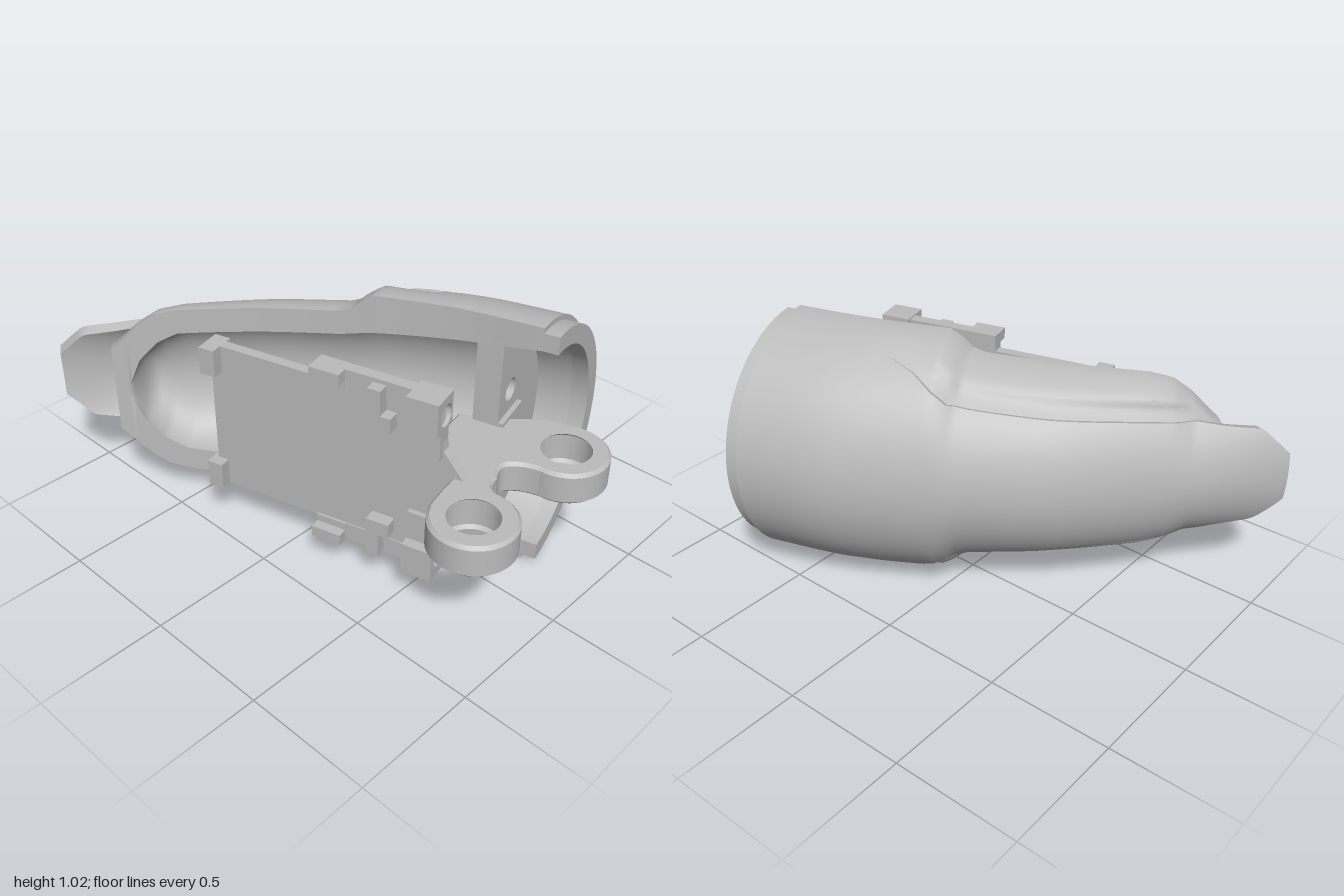
import * as THREE from 'three';
import { toCreasedNormals } from 'three/addons/utils/BufferGeometryUtils.js';

const MID = 0.51; // height of the mirror plane
const TILT = 0.253; // yaw of the base and of the mounting plate
const grey = new THREE.MeshStandardMaterial({ color: 0xbcbcbc, side: THREE.DoubleSide });
grey.name = 'grey';

// Stations along the shell: open edge x z, crown x z
const STATIONS = [
  [0.19, 0.71, 0.68, 0.59],
  [0.10, 0.42, 0.57, 0.30],
  [-0.03, 0.13, 0.357, -0.052],
  [-0.09, 0.01, 0.272, -0.157],
  [-0.25, -0.25, 0.082, -0.397],
  [-0.44, -0.50, -0.193, -0.647],
  [-0.54, -0.62, -0.355, -0.785],
  [-0.61, -0.70, -0.47, -0.87],
  [-0.74, -0.87, -0.65, -1.0],
];
// Half widths of the body, its hollow and the raised panel, keyed by station
const BODY_WIDTH = [[0, 0.51], [1, 0.51], [2, 0.503], [2.35, 0.47], [2.65, 0.437], [3, 0.42],
  [4, 0.395], [5, 0.365], [5.5, 0.342], [6, 0.288], [6.5, 0.233], [7, 0.18], [8, 0.18]];
const HOLLOW_WIDTH = [[0, 0.42], [0.5, 0.4], [2, 0.35], [3.3, 0.315], [4, 0.295], [5, 0.265],
  [5.5, 0.22], [6, 0.14], [6.4, 0.04], [7, 0.03]];
const PANEL_WIDTH = [[0, 0.46], [1.5, 0.455], [1.75, 0.425], [2, 0.375], [2.4, 0.335], [3, 0.315],
  [4, 0.285], [5, 0.258], [6, 0.238], [7, 0.215], [7.55, 0.2], [8, 0.1]];
function lookup(table, t) {
  let i = 1;
  while (i < table.length - 1 && t > table[i][0]) i++;
  const [t0, v0] = table[i - 1], [t1, v1] = table[i];
  return v0 + (v1 - v0) * (t - t0) / (t1 - t0);
}
const edgeCurve = new THREE.CatmullRomCurve3(STATIONS.map((s) => new THREE.Vector3(s[0], 0, s[1])));
const crownCurve = new THREE.CatmullRomCurve3(STATIONS.map((s) => new THREE.Vector3(s[2], 0, s[3])));
function station(t) {
  const e = edgeCurve.getPoint(t / 8), a = crownCurve.getPoint(t / 8);
  const w = lookup(BODY_WIDTH, t), panelW = Math.max(w, 0.3);
  return { e, a, w, panelW, limit: Math.asin(lookup(PANEL_WIDTH, t) / panelW), depth: e.distanceTo(a) };
}

// Point on the half-elliptic section: k scales the depth, w is the half width
function sectionPoint(s, theta, k, w) {
  const c = Math.cos(theta) * k;
  return [s.e.x + (s.a.x - s.e.x) * c, MID + w * Math.sin(theta), s.e.z + (s.a.z - s.e.z) * c];
}

// Lofts rings made of an outer arc and an inner arc, closing both ends
function loftShell(rings) {
  const v = [];
  const quad = (a, b, c, d) => v.push(...a, ...b, ...c, ...a, ...c, ...d);
  const n = rings[0].outer.length;
  const loops = rings.map((r) => [...r.outer, ...r.inner.slice().reverse()]);
  for (let i = 0; i < loops.length - 1; i++) {
    const p = loops[i], q = loops[i + 1];
    for (let j = 0; j < p.length; j++) {
      const m = (j + 1) % p.length;
      quad(p[j], q[j], q[m], p[m]);
    }
  }
  const first = rings[0], last = rings[rings.length - 1];
  for (let j = 0; j < n - 1; j++) {
    quad(first.outer[j], first.outer[j + 1], first.inner[j + 1], first.inner[j]);
    quad(last.outer[j + 1], last.outer[j], last.inner[j], last.inner[j + 1]);
  }
  const g = new THREE.BufferGeometry();
  g.setAttribute('position', new THREE.Float32BufferAttribute(v, 3));
  return toCreasedNormals(g, 0.6);
}

function arcs(outerFn, innerFn, n = 64) {
  const outer = [], inner = [];
  for (let j = 0; j <= n; j++) {
    const f = 2 * j / n - 1;
    outer.push(outerFn(f));
    inner.push(innerFn(f));
  }
  return { outer, inner };
}

function add(parent, name, geometry) {
  const m = new THREE.Mesh(geometry, grey);
  m.name = name;
  parent.add(m);
  return m;
}
function block(parent, name, x0, x1, y0, y1, z0, z1) {
  const m = add(parent, name, new THREE.BoxGeometry(x1 - x0, y1 - y0, z1 - z0));
  m.position.set((x0 + x1) / 2, (y0 + y1) / 2, (z0 + z1) / 2);
}
const hole = (x, y, r) => new THREE.Path().absarc(x, y, r, 0, Math.PI * 2, true);
const { smoothstep, lerp } = THREE.MathUtils;
const RIGHT = Math.PI / 2;

export function createModel() {
  const model = new THREE.Group();
  model.name = 'hingedShell';

  // Hollow half-tube body with a groove beside the raised panel
  const body = [];
  for (let i = 0; i <= 84; i++) {
    const t = 7 * i / 84, s = station(t);
    const sunk = smoothstep(t, 1.25, 1.6);
    const wIn = lookup(HOLLOW_WIDTH, t);
    const kIn = Math.max(0, 1 - 0.1 / s.depth) * (1 - smoothstep(t, 5.8, 6.5));
    body.push(arcs((f) => {
      const th = f * RIGHT;
      const d = (Math.abs(th) - s.limit - 0.08) / 0.14;
      const dip = sunk * (0.015 + 0.045 * Math.exp(-d * d));
      return sectionPoint(s, th, 1 - dip / s.depth, s.w);
    }, (f) => sectionPoint(s, f * RIGHT, kIn, wIn)));
  }
  add(model, 'shellBody', loftShell(body));

  // Stepped lip at the open base
  const base = station(0);
  const lip = [0.058, -0.02].map((d) => {
    const shift = ([x, y, z]) => [x + 0.25 * d, y, z + 0.968 * d];
    return arcs((f) => shift(sectionPoint(base, f * RIGHT, 0.965, 0.49)),
      (f) => shift(sectionPoint(base, f * RIGHT, 0.8, 0.42)));
  });
  add(model, 'baseLip', loftShell(lip));

  // Raised outer panel, cut square at the front and running past the body to a blunt tip
  const panel = [];
  for (let i = 0; i <= 80; i++) {
    const at = (f, skin, inset) => {
      const t = lerp(1.06 + 0.36 * f * f, 8, i / 80), s = station(t);
      return sectionPoint(s, f * s.limit, 1 + skin / s.depth, s.panelW - inset);
    };
    panel.push(arcs((f) => at(f, 0.004, 0), (f) => at(f, -0.06, 0.02)));
  }
  add(model, 'raisedPanel', loftShell(panel));

  // Partition wall inside the base, with two blind screw holes
  const wall = new THREE.Group();
  wall.name = 'partition';
  wall.position.set(0.15, MID, 0.58);
  wall.rotation.y = TILT;
  for (const [name, z, drilled] of [['drilledWall', -0.05, true], ['backWall', -0.1, false]]) {
    const half = new THREE.Shape();
    half.absellipse(0, 0, 0.43, 0.41, -RIGHT, RIGHT, false);
    half.closePath();
    if (drilled) for (const y of [-0.17, 0.17]) half.holes.push(hole(0.1, y, 0.045));
    const g = new THREE.ExtrudeGeometry(half, { depth: 0.05, bevelEnabled: false, curveSegments: 40 });
    add(wall, name, g.translate(0, 0, z));
  }
  block(wall, 'linkSocket', 0, 0.18, -0.08, 0.08, -0.05, 0.02);
  model.add(wall);

  // Flat link with two eyes
  const link = new THREE.Shape();
  const R = 0.145, deg = Math.PI / 180;
  link.moveTo(-0.36, 0.70);
  link.absarc(-0.31, 0.84, R, 252 * deg, -8 * deg, true);
  link.quadraticCurveTo(-0.155, 0.755, -0.09, 0.75);
  link.quadraticCurveTo(-0.02, 0.70, 0.02, 0.75);
  link.quadraticCurveTo(0.05, 0.78, 0.065, 0.84);
  link.absarc(0.21, 0.84, R, 180 * deg, -30 * deg, true);
  link.lineTo(0.31, 0.68);
  link.lineTo(0.22, 0.58);
  link.lineTo(0.12, 0.43);
  link.lineTo(-0.20, 0.495);
  link.lineTo(-0.16, 0.66);
  link.quadraticCurveTo(-0.25, 0.67, -0.36, 0.70);
  link.holes.push(hole(-0.31, 0.84, 0.092), hole(0.21, 0.84, 0.092));
  const linkGeo = new THREE.ExtrudeGeometry(link, {
    depth: 0.104, bevelThickness: 0.012, bevelSize: 0.012, bevelSegments: 1, curveSegments: 32,
  });
  linkGeo.rotateX(RIGHT).translate(0, MID + 0.052, 0);
  add(model, 'hingeLink', toCreasedNormals(linkGeo, 0.5));

  // Mounting plate: local z runs along the plate, x across its thickness
  const mount = new THREE.Group();
  mount.name = 'mountingPlate';
  mount.position.set(-0.15, MID, 0.69);
  mount.rotation.y = TILT;
  const outline = new THREE.Shape([
    [0, 0.06], [-0.08, 0.16], [-0.1, 0.31], [-1.03, 0.31], [-1.03, -0.31], [-0.1, -0.31], [-0.08, -0.16], [0, -0.06],
  ].map(([z, y]) => new THREE.Vector2(-z, y)));
  const plateGeo = new THREE.ExtrudeGeometry(outline, { depth: 0.04, bevelEnabled: false });
  add(mount, 'plate', plateGeo.rotateY(RIGHT).translate(-0.04, 0, 0));

  // Lugs, hooks and drilled brackets, mirrored top and bottom
  for (const side of [1, -1]) {
    const half = (name, x0, x1, y0, y1, z0, z1) =>
      block(mount, name, x0, x1, Math.min(side * y0, side * y1), Math.max(side * y0, side * y1), z0, z1);
    half('endHook', -0.085, 0.025, 0.20, 0.31, -1.05, -0.985);
    half('rearLug', -0.09, 0, 0.33, 0.375, -0.58, -0.46);
    half('rearLugFoot', -0.05, 0, 0.30, 0.34, -0.58, -0.46);
    half('middleLug', -0.09, -0.03, 0.20, 0.26, -0.35, -0.26);
    half('middleLugArm', -0.09, -0.03, 0.25, 0.36, -0.35, -0.30);
    half('bracketRail', -0.045, 0, 0.30, 0.375, -0.48, -0.19);
    const s = new THREE.Shape([[-0.1, 0.25], [0.015, 0.25], [0.015, 0.38], [-0.1, 0.38]]
      .map(([x, y]) => new THREE.Vector2(x, side * y)));
    s.holes.push(hole(-0.035, side * 0.305, 0.042));
    const g = new THREE.ExtrudeGeometry(s, { depth: 0.12, bevelEnabled: false, curveSegments: 24 });
    add(mount, 'drilledBracket', g.translate(0, 0, -0.2));
    half('bracketStep', -0.06, 0, 0.13, 0.25, -0.2, -0.085);
  }
  model.add(mount);
  return model;
}
